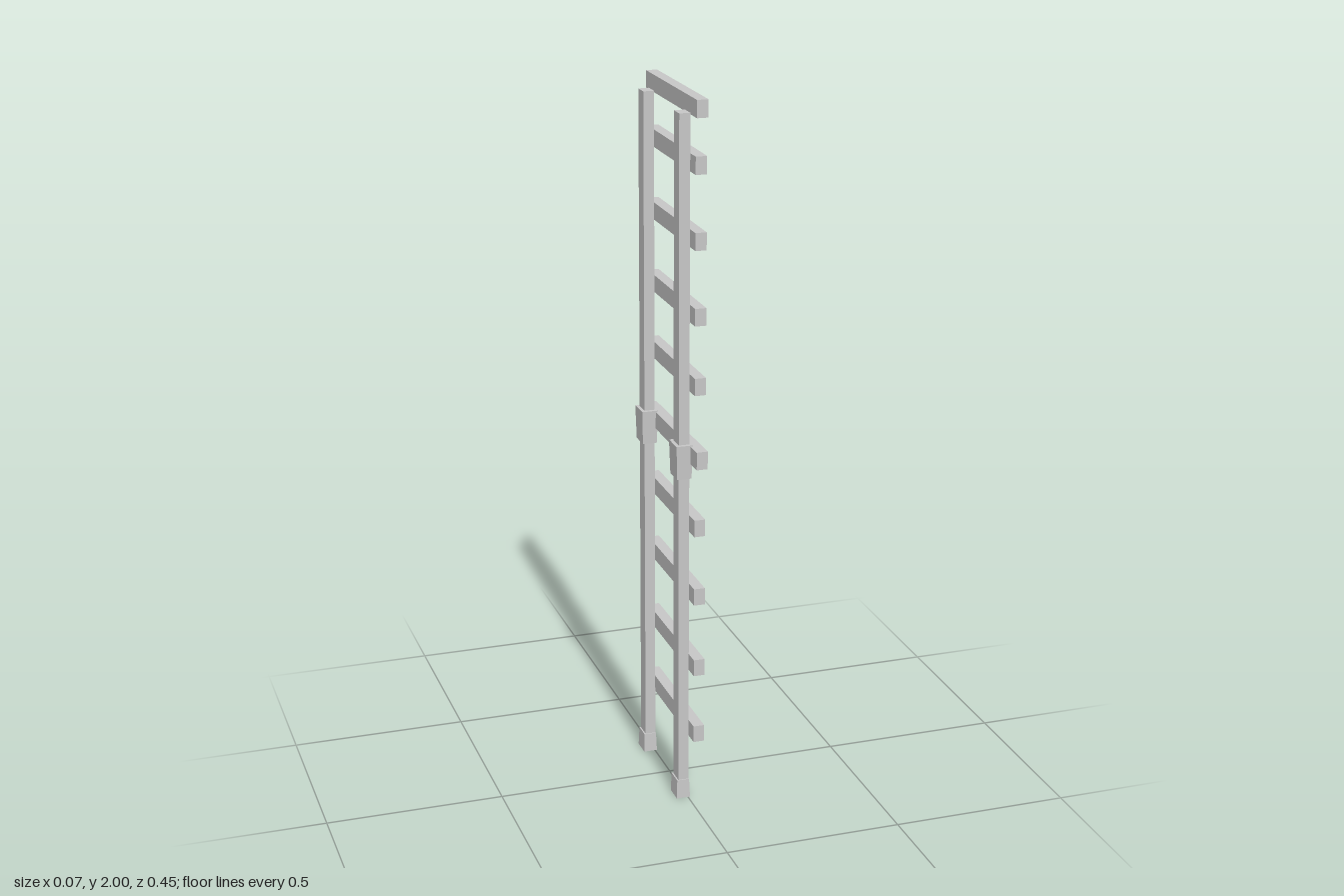
import * as THREE from 'three';

const grey = new THREE.MeshStandardMaterial({ color: 0xc6c6c6 });
grey.name = 'grey';

// Box given by its two extreme corners; its top can be scaled to taper it
function block(name, [x0, y0, z0], [x1, y1, z1], topScale = 1) {
  const geo = new THREE.BoxGeometry(x1 - x0, y1 - y0, z1 - z0);
  const p = geo.attributes.position;
  for (let i = 0; i < p.count; i++) {
    if (p.getY(i) > 0) p.setXYZ(i, p.getX(i) * topScale, p.getY(i), p.getZ(i) * topScale);
  }
  geo.computeVertexNormals();
  const mesh = new THREE.Mesh(geo, grey);
  mesh.name = name;
  mesh.position.set((x0 + x1) / 2, (y0 + y1) / 2, (z0 + z1) / 2);
  return mesh;
}

export function createModel() {
  const ladder = new THREE.Group();
  ladder.name = 'ladder';

  // Two uprights, each with a foot and a sleeve at mid height
  for (const [side, z] of [['front', 0.138], ['back', -0.167]]) {
    const rail = new THREE.Group();
    rail.name = `${side}Rail`;
    rail.add(
      block('post', [-0.027, 0.01, z - 0.022], [0.003, 1.957, z + 0.022]),
      block('foot', [-0.033, 0, z - 0.028], [0.006, 0.055, z + 0.028], 0.9),
      block('sleeve', [-0.034, 0.961, z - 0.029], [0.007, 1.057, z + 0.029], 1.13),
    );
    ladder.add(rail);
  }

  // Rungs, fixed to the face of the uprights
  const rungs = [0.214, 0.416, 0.628, 0.829, 1.231, 1.423, 1.627, 1.828];
  for (const y of rungs) {
    ladder.add(block('rung', [0.003, y - 0.024, -0.204], [0.034, y + 0.024, 0.204]));
  }

  // Longer bars at the middle and the top
  ladder.add(
    block('middleRung', [0.003, 1.004, -0.225], [0.034, 1.054, 0.222]),
    block('topRung', [0.003, 1.953, -0.215], [0.034, 2, 0.213]),
  );
  return ladder;
}
